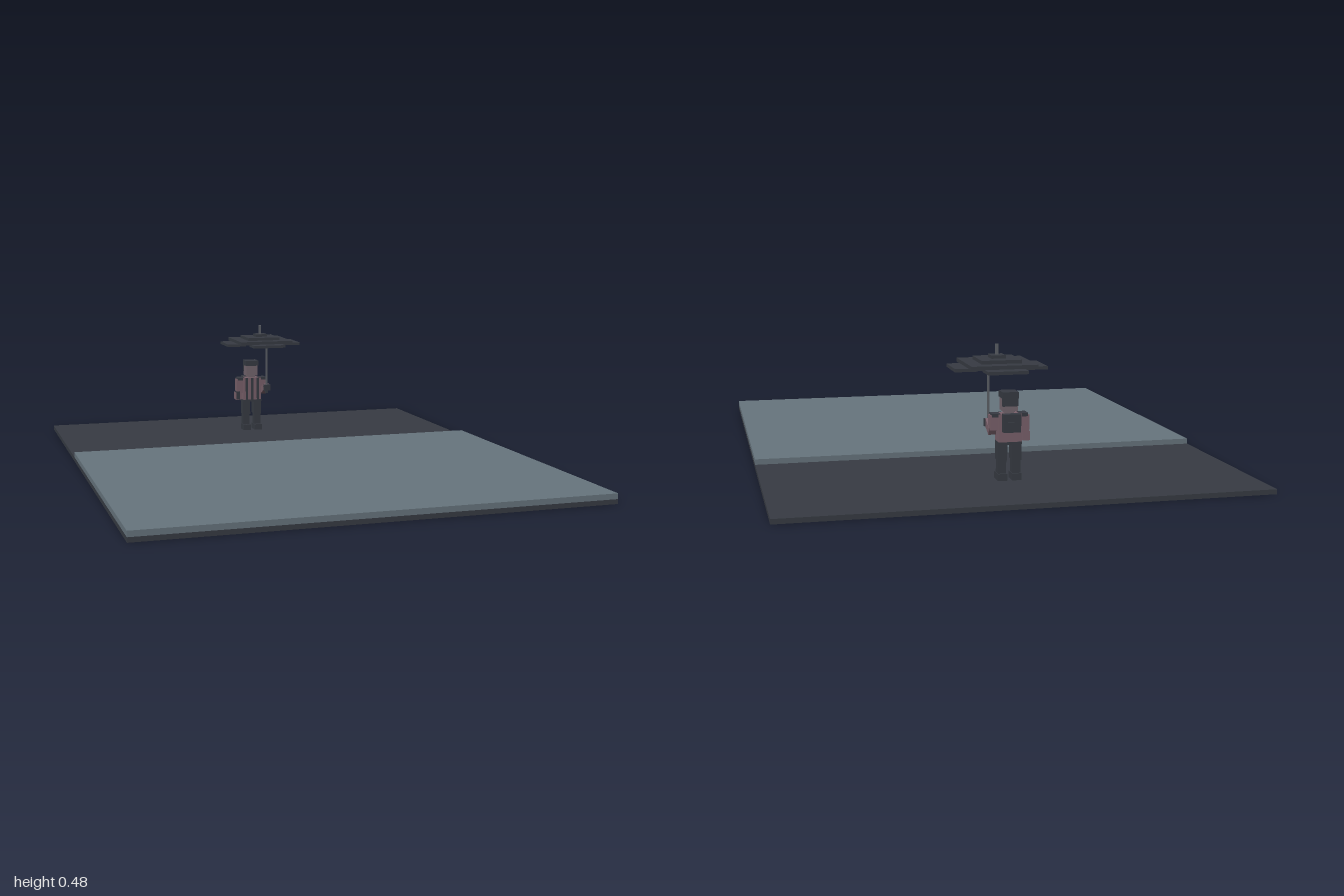
import * as THREE from 'three';

const material = (name, color) => {
  const m = new THREE.MeshStandardMaterial({ color });
  m.name = name;
  return m;
};

export function createModel() {
  const dark = material('charcoal', 0x373b43);
  const water = material('slate blue', 0x67757e);
  const coat = material('dusty rose', 0x7a616b);
  const skin = material('muted skin', 0x74666e);
  const metal = material('grey metal', 0x5c6066);

  const model = new THREE.Group();
  const group = (name, x, y, z, parent = model) => {
    const g = new THREE.Group();
    g.name = name;
    g.position.set(x, y, z);
    parent.add(g);
    return g;
  };
  // Box given by its size and centre
  const box = (parent, name, mat, w, h, d, x, y, z) => {
    const mesh = new THREE.Mesh(new THREE.BoxGeometry(w, h, d), mat);
    mesh.name = name;
    mesh.position.set(x, y, z);
    parent.add(mesh);
    return mesh;
  };

  // Ground plate with the raised slab over its front part
  box(model, 'ground', dark, 1.66, 0.017, 2, 0, 0.0085, 0);
  box(model, 'slab', water, 1.66, 0.021, 1.25, 0, 0.0265, 0.375);

  // Standing figure
  const figure = group('figure', 0, 0, -0.665);
  box(figure, 'torso', coat, 0.08, 0.105, 0.05, 0, 0.195, 0);
  box(figure, 'coatPlacket', dark, 0.01, 0.105, 0.006, 0, 0.195, 0.025);
  box(figure, 'belt', dark, 0.082, 0.009, 0.052, 0, 0.147, 0);
  box(figure, 'neck', skin, 0.03, 0.016, 0.03, 0, 0.253, 0);
  box(figure, 'head', skin, 0.052, 0.046, 0.046, 0, 0.28, 0);
  box(figure, 'hat', dark, 0.056, 0.022, 0.056, 0, 0.312, 0);
  box(figure, 'hairBack', dark, 0.054, 0.03, 0.01, 0, 0.289, -0.022);

  for (const side of [-1, 1]) {
    const x = side * 0.025;
    const name = side > 0 ? 'left' : 'right';
    box(figure, name + 'Thigh', dark, 0.032, 0.06, 0.042, x, 0.117, 0.002);
    box(figure, name + 'Shin', dark, 0.028, 0.055, 0.034, x, 0.064, 0.003);
    box(figure, name + 'Boot', dark, 0.032, 0.024, 0.054, x, 0.029, 0.006);
    box(figure, name + 'Strap', dark, 0.009, 0.095, 0.006, x, 0.2, 0.025);
    box(figure, name + 'ShoulderPad', dark, 0.03, 0.012, 0.04, side * 0.048, 0.243, 0);
  }

  // Hanging right arm
  box(figure, 'rightUpperArm', coat, 0.028, 0.06, 0.036, -0.054, 0.212, 0);
  box(figure, 'rightForearm', coat, 0.025, 0.032, 0.032, -0.06, 0.168, 0.004);
  box(figure, 'rightHand', dark, 0.016, 0.035, 0.03, -0.063, 0.172, 0.01);

  // Bent left arm, reaching forward to the umbrella
  box(figure, 'leftUpperArm', coat, 0.028, 0.052, 0.034, 0.054, 0.218, 0);
  const forearm = box(figure, 'leftForearm', coat, 0.026, 0.026, 0.06, 0.056, 0.198, 0.028);
  forearm.rotation.x = -0.45;
  box(figure, 'leftHand', dark, 0.028, 0.026, 0.022, 0.057, 0.207, 0.058);

  // Backpack
  box(figure, 'backpack', dark, 0.06, 0.062, 0.026, 0, 0.22, -0.04);
  box(figure, 'backpackPocket', dark, 0.04, 0.028, 0.008, 0, 0.21, -0.054);

  // Umbrella with a stepped canopy
  const umbrella = group('umbrella', 0.032, 0, -0.625);
  box(umbrella, 'shaft', metal, 0.007, 0.225, 0.007, 0.024, 0.302, 0.021);
  box(umbrella, 'grip', dark, 0.011, 0.02, 0.011, 0.024, 0.193, 0.021);
  box(umbrella, 'canopyMiddle', dark, 0.228, 0.014, 0.228, 0, 0.413, 0);
  box(umbrella, 'canopyUpper', dark, 0.138, 0.014, 0.138, 0, 0.425, 0);
  box(umbrella, 'canopyCap', dark, 0.05, 0.012, 0.05, 0, 0.437, 0);
  box(umbrella, 'ferrule', metal, 0.009, 0.04, 0.009, 0, 0.46, 0);
  for (const s of [-1, 1]) {
    box(umbrella, 'canopySideFlap', dark, 0.078, 0.011, 0.138, s * 0.121, 0.402, 0);
    box(umbrella, 'canopyEndFlap', dark, 0.138, 0.011, 0.078, 0, 0.402, s * 0.121);
  }

  return model;
}
